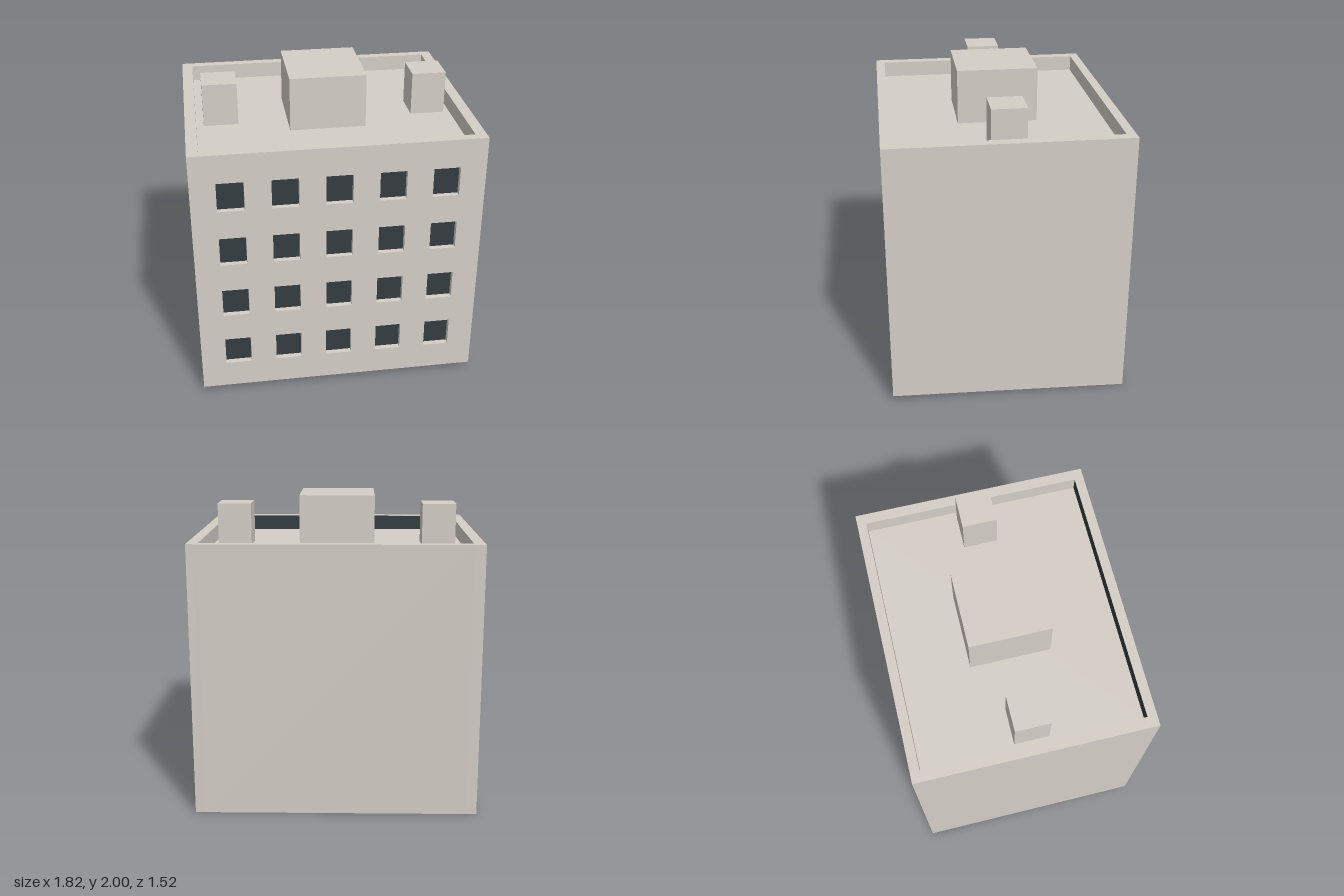
import * as THREE from 'three';

const W = 0.91, D = 0.76, TOP = 1.755, ROOF = 1.65;
const INX = 0.84, INZ = 0.70, PANE = 0.724, BACK = 0.722;

const wallMat = new THREE.MeshStandardMaterial({ color: 0xd4cec6 });
const glassMat = new THREE.MeshStandardMaterial({ color: 0x343d42 });

// Height of the sloping underside at depth z
const ground = (z) => 0.04 * (z + D) / (2 * D);

export function createModel() {
  const model = new THREE.Group();
  model.name = 'building';

  const add = (name, geometry, material = wallMat) => {
    const mesh = new THREE.Mesh(geometry, material);
    mesh.name = name;
    model.add(mesh);
  };

  const box = (name, x0, x1, y0, y1, z0, z1, material) => {
    const g = new THREE.BoxGeometry(x1 - x0, y1 - y0, z1 - z0);
    g.translate((x0 + x1) / 2, (y0 + y1) / 2, (z0 + z1) / 2);
    add(name, g, material);
  };

  // Block with a sloping underside, extruded along x from its side profile
  const block = (name, x0, x1, z0, z1, top) => {
    const shape = new THREE.Shape([
      new THREE.Vector2(-z1, ground(z1)),
      new THREE.Vector2(-z0, ground(z0)),
      new THREE.Vector2(-z0, top),
      new THREE.Vector2(-z1, top),
    ]);
    const g = new THREE.ExtrudeGeometry(shape, { depth: x1 - x0, bevelEnabled: false });
    g.rotateY(Math.PI / 2).translate(x0, 0, 0);
    add(name, g);
  };

  // Main volume up to the roof deck, with taller walls forming the parapet
  block('core', -INX, INX, -INZ, BACK, ROOF);
  block('backWall', -INX, INX, -D, -INZ, TOP);
  block('rightWall', -W, -INX, -D, BACK, TOP);
  block('leftWall', INX, W, -D, BACK, TOP);

  // Front facade pierced by a grid of windows
  const facade = new THREE.Shape([
    new THREE.Vector2(-W, 0.04), new THREE.Vector2(W, 0.04),
    new THREE.Vector2(W, TOP), new THREE.Vector2(-W, TOP),
  ]);
  const w = 0.0835, h = 0.0965;
  for (let row = 0; row < 4; row++) {
    for (let col = 0; col < 5; col++) {
      const x = (col - 2) * 0.3325 - 0.002, y = 0.321 + row * 0.383;
      facade.holes.push(new THREE.Path([
        new THREE.Vector2(x - w, y - h), new THREE.Vector2(x - w, y + h),
        new THREE.Vector2(x + w, y + h), new THREE.Vector2(x + w, y - h),
      ]));
    }
  }
  const facadeGeometry = new THREE.ExtrudeGeometry(facade, { depth: D - BACK, bevelEnabled: false });
  facadeGeometry.translate(0, 0, BACK);
  add('facade', facadeGeometry);

  // Dark glazing behind the openings, also lining the front parapet
  box('glazing', -INX, INX, 0.1, TOP - 0.004, INZ, PANE, glassMat);
  box('frontCoping', -INX, INX, TOP - 0.004, TOP, INZ, BACK);

  // Rooftop housings
  box('penthouse', -0.245, 0.245, ROOF, 2, -0.26, 0.255);
  box('rightRoofUnit', -0.79, -0.567, ROOF, 1.93, -0.112, 0.108);
  box('leftRoofUnit', 0.577, 0.80, ROOF, 1.93, -0.112, 0.108);

  return model;
}
